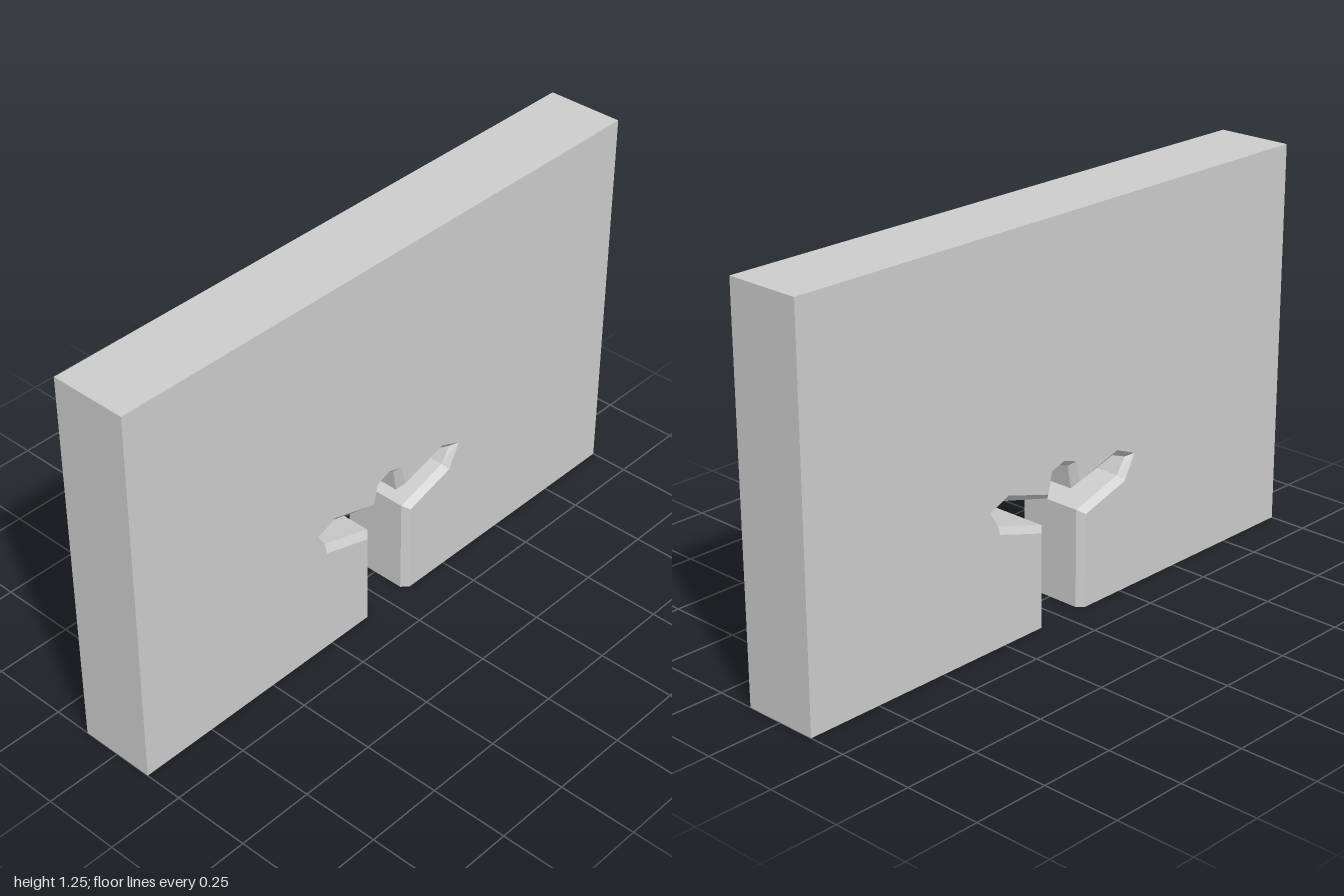
import * as THREE from 'three';

// Right half of the notch, from the bottom up to the crown: [x, y]
const NOTCH_FACE = [[0.095, 0], [0.095, 0.304], [0.268, 0.357], [0.31, 0.435], [0.232, 0.467], [0.068, 0.418], [0.052, 0.486], [0, 0.503]];
const NOTCH_CORE = [[0.075, 0], [0.075, 0.318], [0.255, 0.374], [0.288, 0.424], [0.234, 0.445], [0.05, 0.395], [0.037, 0.471], [0, 0.484]];
const HALF_DEPTH = 0.125;
const CHAMFER = 0.02;

// Full wall outline, counter-clockwise, with the mirrored notch cut from below
function outline(half) {
  const left = half.map(([x, y]) => [-x, y]);
  const right = half.slice(0, -1).reverse();
  return [[1, 0], [1, 1.25], [-1, 1.25], [-1, 0], ...left, ...right]
    .map(([x, y]) => new THREE.Vector2(x, y));
}

export function createModel() {
  const face = outline(NOTCH_FACE);
  const core = outline(NOTCH_CORE);
  // Cross-sections from front to back
  const rings = [
    [face, HALF_DEPTH], [core, HALF_DEPTH - CHAMFER],
    [core, CHAMFER - HALF_DEPTH], [face, -HALF_DEPTH],
  ];
  const n = face.length;
  const positions = [];
  const index = [];
  for (const [loop, z] of rings) for (const p of loop) positions.push(p.x, p.y, z);

  // Outer sides, chamfers and notch walls
  for (let k = 0; k < rings.length - 1; k++) {
    for (let i = 0; i < n; i++) {
      const j = (i + 1) % n;
      const f = k * n, b = f + n;
      index.push(f + i, b + i, b + j, f + i, b + j, f + j);
    }
  }
  // Front and back faces
  const back = (rings.length - 1) * n;
  for (const [a, b, c] of THREE.ShapeUtils.triangulateShape(face, [])) {
    index.push(a, b, c, back + a, back + c, back + b);
  }

  const indexed = new THREE.BufferGeometry();
  indexed.setAttribute('position', new THREE.Float32BufferAttribute(positions, 3));
  indexed.setIndex(index);
  const geometry = indexed.toNonIndexed();
  geometry.computeVertexNormals();

  const wall = new THREE.Mesh(geometry, new THREE.MeshStandardMaterial({ color: 0xcccccc, flatShading: true }));
  wall.name = 'notchedWall';
  const group = new THREE.Group();
  group.name = 'wallWithCutout';
  group.add(wall);
  return group;
}
